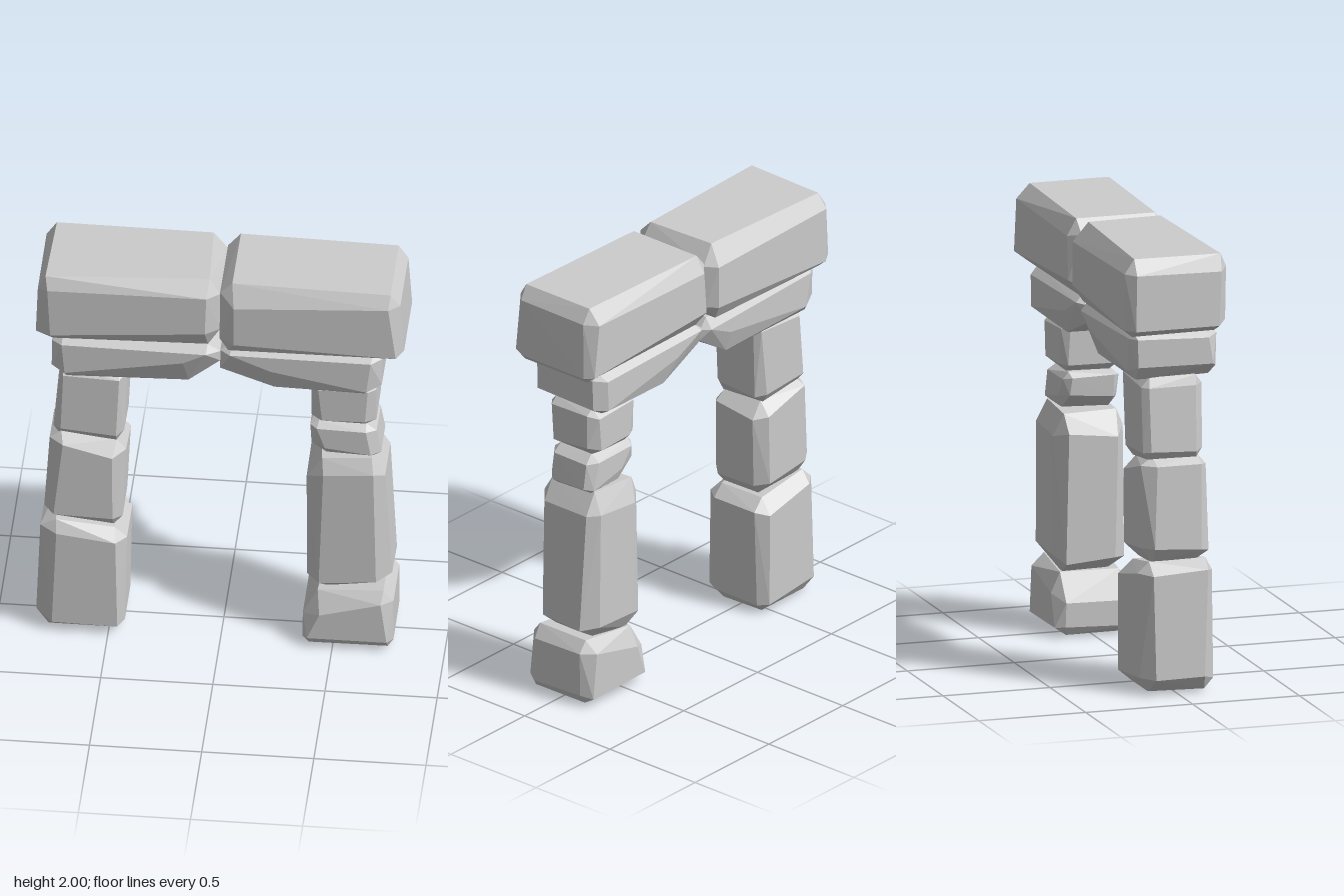
import * as THREE from 'three';
import { ConvexGeometry } from 'three/addons/geometries/ConvexGeometry.js';

// Seeded random numbers for the uneven chiselling
let seed = 7;
const rand = () => (seed = (seed * 16807) % 2147483647) / 2147483647;
const vary = () => 0.7 + 0.6 * rand();

// One hewn block. Corners run top left, top right, bottom right, bottom left,
// each as [x, y, bevel in x, bevel in y]; every 3D corner is cut by a facet.
function stoneGeometry(corners, zBack, zFront, bevelZ) {
  const points = [];
  corners.forEach(([x, y, bx, by], i) => {
    const sx = i === 0 || i === 3 ? 1 : -1; // direction into the block
    const sy = i < 2 ? -1 : 1;
    for (const [z, sz] of [[zFront, -1], [zBack, 1]]) {
      const bz = bevelZ * vary();
      points.push(
        new THREE.Vector3(x, y + sy * by * vary(), z + sz * bz),
        new THREE.Vector3(x + sx * bx * vary(), y, z + sz * bz * vary()),
        new THREE.Vector3(x + sx * bx * vary(), y + sy * by * vary(), z),
      );
    }
  });
  return new ConvexGeometry(points);
}

export function createModel() {
  seed = 7;
  const group = new THREE.Group();
  const stone = new THREE.MeshStandardMaterial({ color: 0xcccccc, flatShading: true });
  stone.name = 'pale grey stone';

  const add = (name, corners, zBack, zFront, bevelZ) => {
    const mesh = new THREE.Mesh(stoneGeometry(corners, zBack, zFront, bevelZ), stone);
    mesh.name = name;
    group.add(mesh);
  };

  // Upper lintel, two large blocks meeting in the middle
  add('upperLintelRight', [
    [-0.81, 1.99, 0.04, 0.06], [0, 2.0, 0.05, 0.09],
    [0, 1.64, 0.05, 0.08], [-0.82, 1.635, 0.06, 0.04]], -0.24, 0.235, 0.05);
  add('upperLintelLeft', [
    [0, 1.99, 0.06, 0.08], [0.805, 1.99, 0.04, 0.06],
    [0.82, 1.635, 0.03, 0.035], [0, 1.64, 0.05, 0.06]], -0.235, 0.235, 0.05);

  // Lower lintel, tapering up towards the middle
  add('lowerLintelRight', [
    [-0.75, 1.64, 0.04, 0.03], [0, 1.64, 0.05, 0.04],
    [0, 1.425, 0.2, 0.1], [-0.75, 1.425, 0.06, 0.05]], -0.2, 0.21, 0.04);
  add('lowerLintelLeft', [
    [0, 1.64, 0.04, 0.03], [0.72, 1.635, 0.04, 0.03],
    [0.72, 1.42, 0.06, 0.04], [0, 1.425, 0.22, 0.11]], -0.2, 0.21, 0.04);

  // Right pillar, three blocks
  add('rightPillarTop', [
    [-0.725, 1.43, 0.02, 0.04], [-0.42, 1.43, 0.03, 0.04],
    [-0.435, 1.03, 0.04, 0.04], [-0.75, 1.06, 0.03, 0.03]], -0.14, 0.14, 0.04);
  add('rightPillarMiddle', [
    [-0.765, 1.07, 0.06, 0.05], [-0.425, 1.03, 0.05, 0.06],
    [-0.44, 0.57, 0.04, 0.05], [-0.79, 0.59, 0.05, 0.06]], -0.15, 0.16, 0.05);
  add('rightPillarBase', [
    [-0.805, 0.6, 0.06, 0.05], [-0.42, 0.555, 0.05, 0.06],
    [-0.43, 0, 0.04, 0.06], [-0.825, 0.01, 0.07, 0.06]], -0.17, 0.18, 0.05);

  // Left pillar, four blocks
  add('leftPillarTop', [
    [0.4, 1.43, 0.03, 0.03], [0.69, 1.43, 0.03, 0.04],
    [0.69, 1.195, 0.04, 0.04], [0.4, 1.2, 0.04, 0.04]], -0.14, 0.14, 0.035);
  add('leftPillarUpper', [
    [0.395, 1.2, 0.04, 0.03], [0.69, 1.195, 0.04, 0.03],
    [0.71, 1.015, 0.04, 0.03], [0.4, 1.025, 0.08, 0.06]], -0.13, 0.13, 0.035);
  add('leftPillarLower', [
    [0.38, 1.01, 0.06, 0.09], [0.73, 1.025, 0.05, 0.08],
    [0.76, 0.32, 0.06, 0.05], [0.38, 0.28, 0.08, 0.07]], -0.17, 0.16, 0.05);
  add('leftPillarBase', [
    [0.365, 0.285, 0.08, 0.11], [0.77, 0.31, 0.05, 0.05],
    [0.77, 0.01, 0.03, 0.04], [0.365, 0.01, 0.03, 0.04]], -0.18, 0.19, 0.045);

  return group;
}
